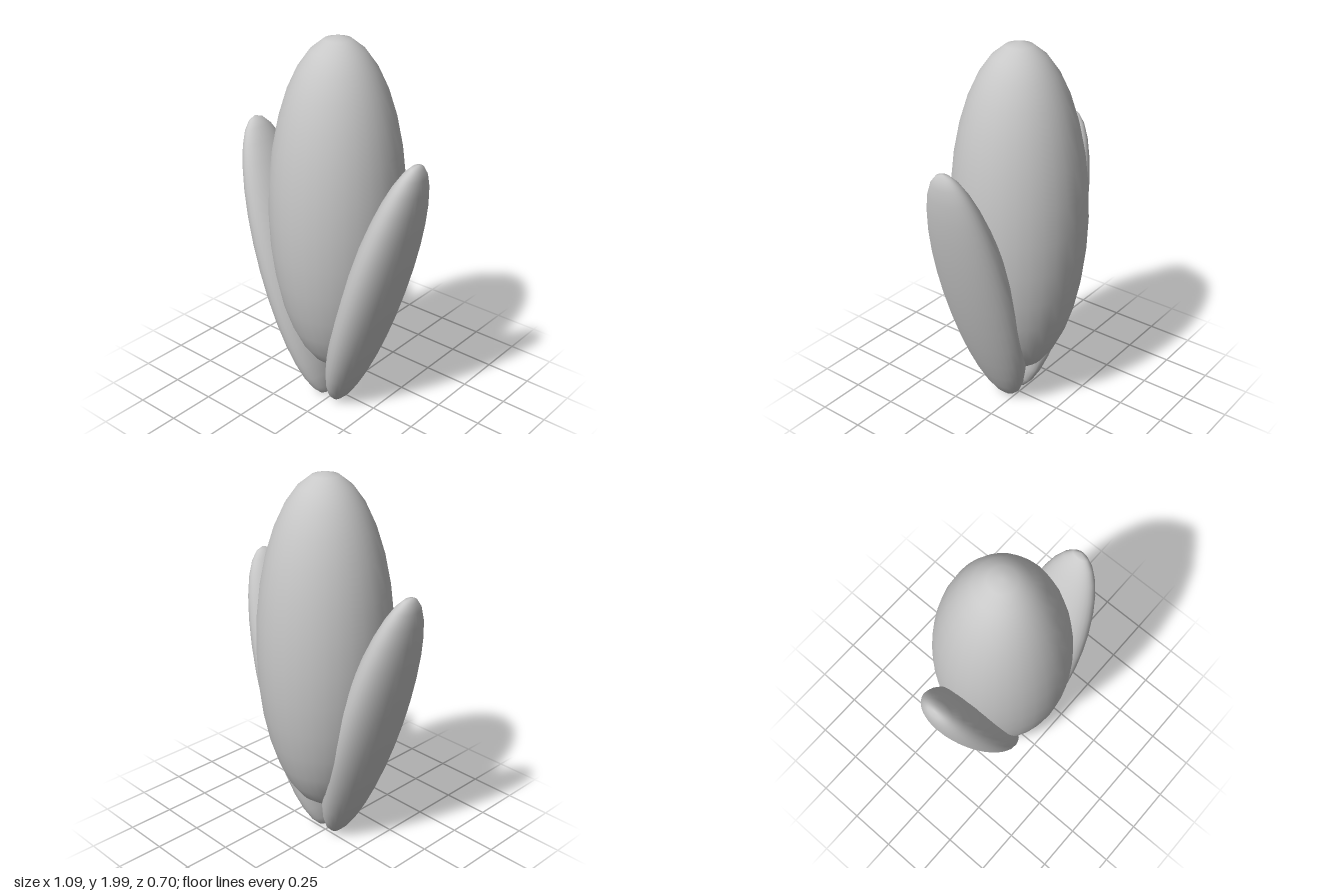
import * as THREE from 'three';

export function createModel() {
  const model = new THREE.Group();
  model.name = 'flowerBud';
  const grey = new THREE.MeshStandardMaterial({ color: 0xc8c8c8 });
  grey.name = 'light grey';

  // Smooth ellipsoid with its poles on the long axis
  const addEllipsoid = (name, radii, position, tilt = 0) => {
    const geometry = new THREE.SphereGeometry(1, 32, 16);
    geometry.scale(...radii);
    const mesh = new THREE.Mesh(geometry, grey);
    mesh.name = name;
    mesh.position.set(...position);
    mesh.rotation.z = tilt;
    model.add(mesh);
  };

  // Upright central bud
  addEllipsoid('bud', [0.345, 0.9, 0.348], [0, 1.1, 0]);

  // Two flat petals leaning outwards, set slightly forward
  for (const side of [1, -1]) {
    addEllipsoid(side > 0 ? 'leftPetal' : 'rightPetal',
      [0.125, 0.784, 0.216], [side * 0.276, 0.755, 0.045], -side * 0.31);
  }
  return model;
}
